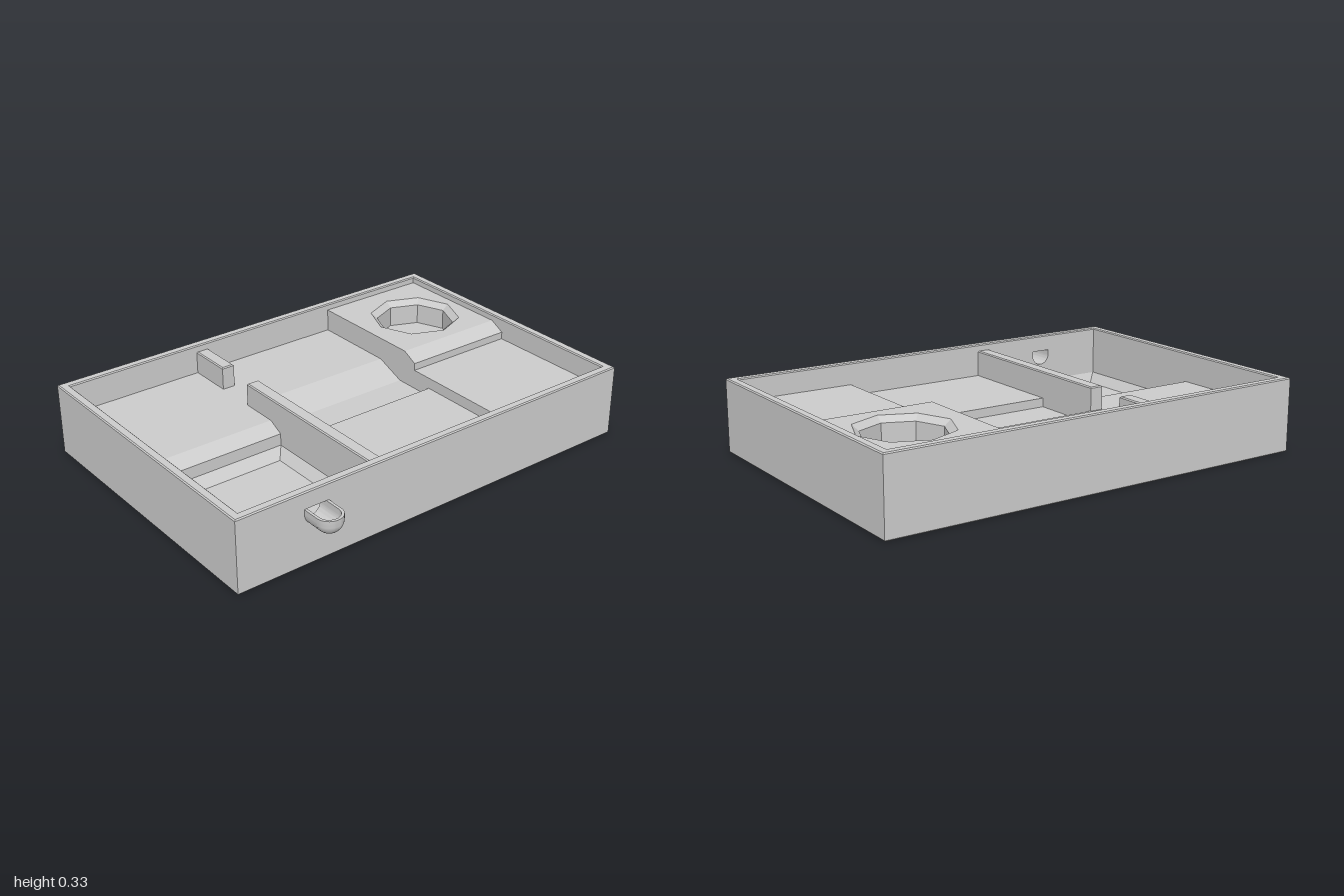
import * as THREE from 'three';
import { toCreasedNormals } from 'three/addons/utils/BufferGeometryUtils.js';

const material = new THREE.MeshStandardMaterial({ color: 0xcccccc });
const flatDouble = new THREE.MeshStandardMaterial({ color: 0xcccccc, flatShading: true, side: THREE.DoubleSide });

// Tray outline and inner wall faces
const OUT = { x0: -0.745, x1: 0.605, z0: -1, z1: 1 };
const IN = { x0: -0.705, x1: 0.565, z0: -0.96, z1: 0.96 };
const HEIGHT = 0.33;
const SPOUT = { z: 0.632, y: 0.234, rim: 0.255, outer: 0.058, inner: 0.046, tip: 0.682 };

export function createModel() {
  const model = new THREE.Group();

  function add(name, geometry, mat = material) {
    const mesh = new THREE.Mesh(geometry, mat);
    mesh.name = name;
    model.add(mesh);
    return mesh;
  }

  // Plan rectangle; plan shapes use (x, -z)
  function rect({ x0, x1, z0, z1 }, Type = THREE.Shape) {
    return new Type([[x0, -z1], [x1, -z1], [x1, -z0], [x0, -z0]].map(([x, y]) => new THREE.Vector2(x, y)));
  }

  // Plan shape raised from y0 to y1 with a fine edge bevel
  function slab(name, shape, y0, y1, b = 0) {
    const g = new THREE.ExtrudeGeometry(shape, {
      depth: y1 - y0 - 2 * b, bevelEnabled: b > 0, bevelSize: b, bevelThickness: b, bevelOffset: -b, bevelSegments: 1,
    });
    g.rotateX(-Math.PI / 2).translate(0, y0 + b, 0);
    return add(name, g);
  }

  // Floor whose height profile (x, y) runs along z
  function floorStrip(name, profile, z0, z1) {
    const first = profile[0], last = profile[profile.length - 1];
    const pts = [[first[0], 0.01], [last[0], 0.01], ...profile.slice().reverse()];
    const shape = new THREE.Shape(pts.map(([x, y]) => new THREE.Vector2(x, y)));
    const g = new THREE.ExtrudeGeometry(shape, { depth: z1 - z0, bevelEnabled: false });
    return add(name, g.translate(0, 0, z0));
  }

  // Side-on shape (-z, y) extruded along x
  function alongX(name, shape, x0, x1) {
    const g = new THREE.ExtrudeGeometry(shape, { depth: x1 - x0, bevelEnabled: false, curveSegments: 20 });
    g.rotateY(Math.PI / 2).translate(x0, 0, 0);
    return add(name, toCreasedNormals(g, 0.6));
  }

  // Base, plain walls and bevelled rim
  const RIM = 0.31, BASE = 0.015;
  slab('base', rect(OUT), 0, BASE, 0.005);
  slab('rightWall', rect({ ...OUT, x1: IN.x0 }), BASE - 0.005, RIM);
  slab('backWall', rect({ ...OUT, z1: IN.z0 }), BASE - 0.005, RIM);
  slab('frontWall', rect({ ...OUT, z0: IN.z1 }), BASE - 0.005, RIM);
  const rim = rect(OUT);
  rim.holes.push(rect(IN, THREE.Path));
  slab('rim', rim, RIM - 0.005, HEIGHT, 0.005);

  // Left wall with the drain opening
  const wall = new THREE.Shape([[-1, 0.01], [1, 0.01], [1, RIM], [-1, RIM]].map(([x, y]) => new THREE.Vector2(x, y)));
  const drain = new THREE.Path();
  drain.moveTo(-SPOUT.z - SPOUT.inner, SPOUT.rim);
  drain.lineTo(-SPOUT.z - SPOUT.inner, SPOUT.y);
  drain.absarc(-SPOUT.z, SPOUT.y, SPOUT.inner, Math.PI, 2 * Math.PI, false);
  drain.lineTo(-SPOUT.z + SPOUT.inner, SPOUT.rim);
  drain.closePath();
  wall.holes.push(drain);
  alongX('leftWall', wall, IN.x1, OUT.x1);

  // Spout: open trough with a rounded end
  const trough = new THREE.Shape();
  trough.moveTo(-SPOUT.z - SPOUT.outer, SPOUT.rim);
  trough.lineTo(-SPOUT.z - SPOUT.outer, SPOUT.y);
  trough.absarc(-SPOUT.z, SPOUT.y, SPOUT.outer, Math.PI, 2 * Math.PI, false);
  trough.lineTo(-SPOUT.z + SPOUT.outer, SPOUT.rim);
  trough.lineTo(-SPOUT.z + SPOUT.inner, SPOUT.rim);
  trough.lineTo(-SPOUT.z + SPOUT.inner, SPOUT.y);
  trough.absarc(-SPOUT.z, SPOUT.y, SPOUT.inner, 0, -Math.PI, true);
  trough.lineTo(-SPOUT.z - SPOUT.inner, SPOUT.rim);
  alongX('spoutTrough', trough, OUT.x1 - 0.002, SPOUT.tip);

  const arc = (r) => Array.from({ length: 11 }, (_, i) => {
    const a = (i / 10) * Math.PI / 2;
    return new THREE.Vector2(r * Math.sin(a), -r * Math.cos(a));
  });
  const lip = SPOUT.rim - SPOUT.y;
  const section = [
    ...arc(SPOUT.outer), new THREE.Vector2(SPOUT.outer, lip),
    new THREE.Vector2(SPOUT.inner, lip), ...arc(SPOUT.inner).reverse(),
  ];
  const tip = toCreasedNormals(new THREE.LatheGeometry(section, 20, 0, Math.PI), 0.6);
  add('spoutEnd', tip).position.set(SPOUT.tip, SPOUT.y, SPOUT.z);

  // Back platform with an eight-sided chamfered well
  const backEdge = -0.42, wellX = -0.4, wellZ = -0.71, wellR = 0.21, topY = 0.3;
  const platform = rect({ x0: IN.x0, x1: -0.13, z0: IN.z0, z1: backEdge });
  platform.holes.push(new THREE.Path(Array.from({ length: 8 }, (_, i) => {
    const a = -i * Math.PI / 4;
    return new THREE.Vector2(wellX + wellR * Math.cos(a), -wellZ + wellR * Math.sin(a));
  })));
  slab('backPlatform', platform, 0.01, topY);
  const well = [[0, 0.18], [0.18, 0.18], [0.18, 0.275], [wellR, topY]].map(([x, y]) => new THREE.Vector2(x, y));
  add('well', new THREE.LatheGeometry(well, 8), flatDouble).position.set(wellX, 0, wellZ);
  floorStrip('backLowerFloor', [[-0.13, topY], [-0.06, 0.264], [-0.06, 0.23], [IN.x1, 0.23]], IN.z0, backEdge);

  // Middle floor: ramp into a channel beside a low block
  floorStrip('middleFloor',
    [[IN.x0, 0.195], [-0.3, 0.195], [-0.16, 0.14], [0.04, 0.14], [0.04, 0.18], [IN.x1, 0.18]], backEdge, 0.3);

  // Front floor, ending in a drop to the basin
  floorStrip('frontFloor', [[IN.x0, 0.195], [-0.13, 0.195], [-0.06, 0.16]], 0.3, IN.z1);

  // Basin with sloping sides: upper loop, lower loop, floor
  const loop = (x0, x1, z0, z1, y) => [[x0, y, z0], [x0, y, z1], [x1, y, z1], [x1, y, z0]];
  const upper = loop(-0.06, IN.x1, 0.325, IN.z1, 0.105);
  const lower = loop(-0.02, 0.54, 0.36, 0.925, 0.06);
  const basin = new THREE.BufferGeometry();
  basin.setAttribute('position', new THREE.Float32BufferAttribute([...upper, ...lower].flat(), 3));
  const index = [4, 5, 6, 4, 6, 7];
  for (let i = 0; i < 4; i++) {
    const j = (i + 1) % 4;
    index.push(i, j, j + 4, i, j + 4, i + 4);
  }
  basin.setIndex(index);
  add('basin', toCreasedNormals(basin, 0.2), flatDouble);

  // Partition walls either side of the gap
  slab('rightPartition', rect({ x0: IN.x0, x1: -0.495, z0: 0.265, z1: 0.325 }), 0.02, topY, 0.005);
  slab('leftPartition', rect({ x0: -0.305, x1: IN.x1, z0: 0.265, z1: 0.325 }), 0.02, topY, 0.005);

  return model;
}
